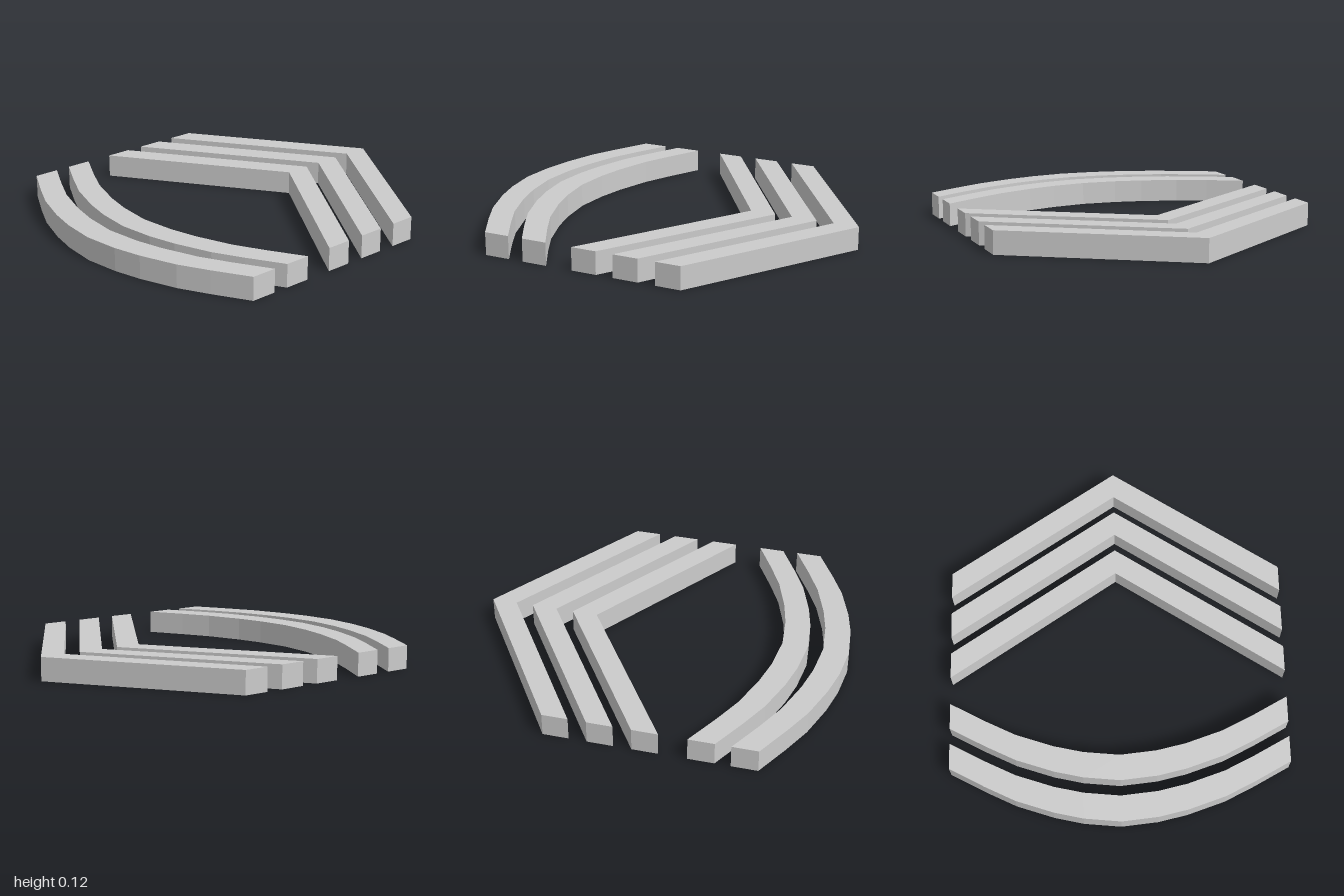
import * as THREE from 'three';

const HEIGHT = 0.125; // bar height (y)
const WIDTH = 0.138;  // bar depth (z)

// Back-edge profiles [x, z] of the right-hand half, mirrored to the other side
const CHEVRON = [[0, 0], [0.9, 0.588]];
const ARC = [[0, 0], [0.195, -0.02], [0.35, -0.055], [0.55, -0.122], [0.71, -0.2], [0.9, -0.302]];

// Flat bar following a mirrored profile, standing on y = 0
function bar(half, z0, name, material) {
  const mirrored = half.slice(1).reverse().map(([x, z]) => [-x, z]);
  const back = [...mirrored, ...half];
  const front = back.map(([x, z]) => [x, z + WIDTH]).reverse();
  const outline = [...back, ...front].map(([x, z]) => new THREE.Vector2(x, -(z + z0)));
  const geometry = new THREE.ExtrudeGeometry(new THREE.Shape(outline), { depth: HEIGHT, bevelEnabled: false });
  geometry.rotateX(-Math.PI / 2);
  const mesh = new THREE.Mesh(geometry, material);
  mesh.name = name;
  return mesh;
}

export function createModel() {
  const group = new THREE.Group();
  group.name = 'chevronsAndArcs';
  const material = new THREE.MeshStandardMaterial({ color: 0xcccccc, flatShading: true });

  // Three nested chevrons pointing to the back
  for (let i = 0; i < 3; i++) group.add(bar(CHEVRON, -1 + i * 0.233, `chevron${i + 1}`, material));

  // Two curved bars bulging to the front
  for (let i = 0; i < 2; i++) group.add(bar(ARC, 0.642 + i * 0.22, `arc${i + 1}`, material));

  return group;
}
